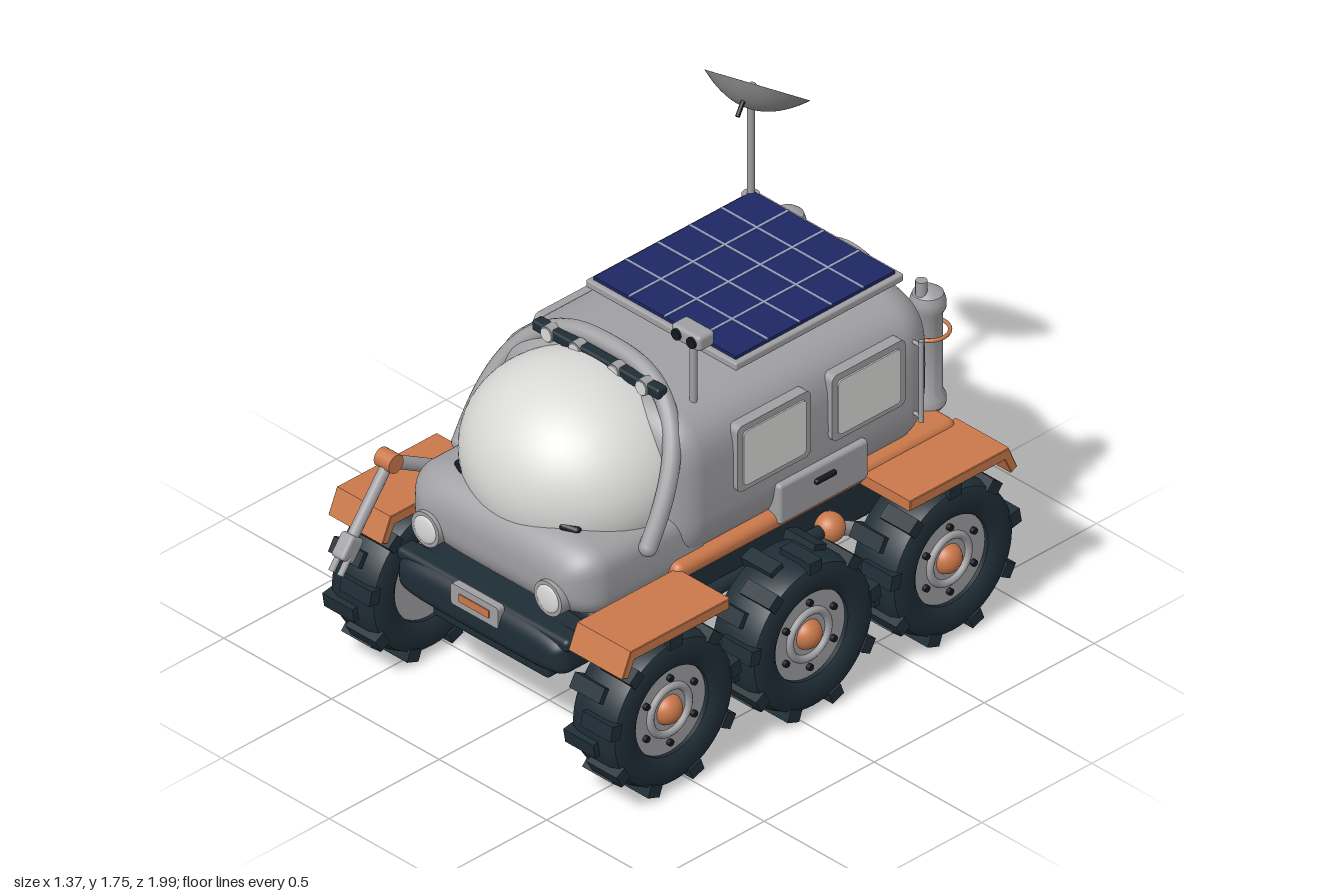
import * as THREE from 'three';
import { toCreasedNormals } from 'three/addons/utils/BufferGeometryUtils.js';
import { RoundedBoxGeometry } from 'three/addons/geometries/RoundedBoxGeometry.js';

const V = (x, y, z) => new THREE.Vector3(x, y, z);
const H = Math.PI / 2;
const spow = (v, e) => Math.sign(v) * Math.abs(v) ** e;

function paint(name, color, side = THREE.FrontSide) {
  const m = new THREE.MeshStandardMaterial({ color, side });
  m.name = name;
  return m;
}

// Superellipse hull along z, with rounded ends
function hull(w, y0, y1, zBack, zFront, rBack, rFront, n) {
  const secs = [], N = 64, S = 10, pos = [], idx = [];
  for (let i = 0; i <= S; i++) {
    const a = (i / S) * H;
    secs.push([zBack + rBack * (1 - Math.cos(a)), rBack * (1 - Math.sin(a))]);
  }
  for (let i = 0; i <= S; i++) {
    const a = (i / S) * H;
    secs.push([zFront - rFront * (1 - Math.sin(a)), rFront * (1 - Math.cos(a))]);
  }
  // The back cap starts at full inset, so order its sections from the end inwards
  for (let i = 0; i <= S; i++) {
    const a = (i / S) * H;
    secs[i] = [zBack + rBack * (1 - Math.cos(a)), rBack * (1 - Math.sin(a))];
  }
  const cy = (y0 + y1) / 2;
  for (const [z, inset] of secs) for (let j = 0; j < N; j++) {
    const t = (j / N) * Math.PI * 2;
    pos.push((w - inset) * spow(Math.cos(t), 2 / n), cy + ((y1 - y0) / 2 - inset) * spow(Math.sin(t), 2 / n), z);
  }
  for (let i = 0; i < secs.length - 1; i++) for (let j = 0; j < N; j++) {
    const k = (j + 1) % N, a = i * N + j, b = i * N + k, c = b + N, d = a + N;
    idx.push(a, b, c, a, c, d);
  }
  const back = pos.length / 3, last = (secs.length - 1) * N;
  pos.push(0, cy, zBack, 0, cy, zFront);
  for (let j = 0; j < N; j++) {
    const k = (j + 1) % N;
    idx.push(back, k, j, back + 1, last + j, last + k);
  }
  const g = new THREE.BufferGeometry();
  g.setAttribute('position', new THREE.Float32BufferAttribute(pos, 3));
  g.setIndex(idx);
  g.computeVertexNormals();
  return g;
}

// Rounded rectangle plate, thickness along z
function plate(w, h, d, r) {
  const s = new THREE.Shape(), x = w / 2 - r, y = h / 2 - r;
  [[x, y], [-x, y], [-x, -y], [x, -y]].forEach(([cx, cy], i) => s.absarc(cx, cy, r, i * H, (i + 1) * H));
  return new THREE.ExtrudeGeometry(s, { depth: d, bevelEnabled: false, curveSegments: 6 }).translate(0, 0, -d / 2);
}

const box = (w, h, d, r = 0.01) => new RoundedBoxGeometry(w, h, d, 3, r);
const cyl = (r, h, r2 = r, n = 32) => new THREE.CylinderGeometry(r2, r, h, n);
const ball = r => new THREE.SphereGeometry(r, 24, 16);
const lathe = (pts, n = 48) => toCreasedNormals(new THREE.LatheGeometry(pts.map(p => new THREE.Vector2(...p)), n), 0.6);

export function createModel() {
  const root = new THREE.Group();
  root.name = 'rover';
  const grey = paint('hull grey', 0xa09fa2);
  const dishGrey = paint('dish grey', 0x8f8f91, THREE.DoubleSide);
  const pale = paint('pale glass', 0xd9d9d8);
  const dark = paint('dark rubber', 0x1f2d36);
  const black = paint('black', 0x14191e);
  const orange = paint('orange', 0xca784a);
  const blue = paint('solar blue', 0x1d2763);
  const line = paint('solar lines', 0x94a2c4);

  const add = (name, geo, mat, p = [0, 0, 0], r = [0, 0, 0], parent = root) => {
    const m = new THREE.Mesh(geo, mat);
    m.name = name;
    m.position.set(...p);
    m.rotation.set(...r);
    parent.add(m);
    return m;
  };
  const rod = (name, a, b, r, mat, n = 16) => {
    const A = V(...a), B = V(...b), m = add(name, cyl(r, A.distanceTo(B), r, n), mat);
    m.position.copy(A).add(B).multiplyScalar(0.5);
    m.quaternion.setFromUnitVectors(V(0, 1, 0), B.sub(A).normalize());
  };

  // Cabin, nose and bubble windscreen
  add('cabin', hull(0.457, 0.6, 1.21, -0.862, 0.36, 0.17, 0.12, 4), grey);
  add('nose', hull(0.425, 0.57, 0.875, 0.2, 0.77, 0.02, 0.13, 4), grey);
  add('windscreen', new THREE.SphereGeometry(1, 64, 40).scale(0.405, 0.335, 0.375), pale, [0, 0.92, 0.37]);
  const arc = [];
  for (let i = 0; i <= 32; i++) {
    const t = (i / 32) * Math.PI, s = spow(Math.sin(t), 0.76);
    arc.push(V(0.435 * spow(Math.cos(t), 0.76), 0.8 + 0.468 * s, 0.475 - 0.255 * s));
  }
  add('windscreenHoop', new THREE.TubeGeometry(new THREE.CatmullRomCurve3(arc), 72, 0.032, 14), grey);
  for (const p of [arc[0], arc[32]]) add('hoopEnd', ball(0.032), grey, p.toArray());

  // Roof light bar
  add('lightBar', box(0.59, 0.04, 0.045), dark, [0, 1.238, 0.27]);
  for (const x of [-0.22, -0.09, 0.09, 0.22]) {
    add('roofLamp', cyl(0.029, 0.04), grey, [x, 1.236, 0.276], [H, 0, 0]);
    add('roofLampLens', cyl(0.025, 0.006), pale, [x, 1.236, 0.297], [H, 0, 0]);
  }

  // Chassis, bumper and belt
  add('chassis', box(0.76, 0.2, 1.62, 0.03), dark, [0, 0.5, -0.14]);
  add('bumper', hull(0.39, 0.4, 0.565, 0.5, 0.835, 0.02, 0.06, 5), dark);
  add('bumperTop', box(0.8, 0.05, 0.08, 0.02), dark, [0, 0.54, 0.77]);
  add('skidPlate', box(0.54, 0.07, 0.2, 0.015), dark, [0, 0.375, 0.67]);
  add('rearBeam', box(0.56, 0.12, 0.08, 0.015), dark, [0, 0.55, -0.925]);
  add('belt', box(0.93, 0.065, 1.27, 0.03), orange, [0, 0.648, -0.27]);
  add('numberPlateHolder', plate(0.22, 0.08, 0.03, 0.012), grey, [0, 0.535, 0.825]);
  add('numberPlate', plate(0.14, 0.03, 0.008, 0.003), orange, [0, 0.535, 0.84]);

  // Fenders
  const prof = [[0.35, 0.622], [0.78, 0.622], [0.81, 0.56], [0.832, 0.57], [0.795, 0.655], [0.35, 0.655]];
  const fender = new THREE.ExtrudeGeometry(new THREE.Shape(prof.map(p => new THREE.Vector2(...p))),
    { depth: 0.235, bevelThickness: 0.008, bevelSize: 0.004, bevelSegments: 2 }).translate(0, 0, -0.1175);

  // Wheel geometry, axle along y
  const tyre = lathe([[0.165, -0.09], [0.185, -0.105], [0.245, -0.108], [0.267, -0.097], [0.279, -0.06], [0.279, 0.06],
    [0.267, 0.097], [0.245, 0.108], [0.185, 0.105], [0.165, 0.09], [0.165, -0.09]], 56);
  const lug = new THREE.BoxGeometry(0.044, 0.14, 0.055);
  function wheel(x, z) {
    const g = new THREE.Group();
    g.name = 'wheel';
    g.position.set(x, 0.31, z);
    g.rotation.z = -Math.sign(x) * H;
    root.add(g);
    add('tyre', tyre, dark, [0, 0, 0], [0, 0, 0], g);
    for (let i = 0; i < 18; i++) {
      const a = (i / 18) * Math.PI * 2, R = 0.277;
      add('treadLug', lug, dark, [R * Math.cos(a), i % 2 ? 0.04 : -0.04, R * Math.sin(a)], [0, -a, 0], g);
    }
    add('rim', cyl(0.17, 0.15, 0.17, 40), grey, [0, 0, 0], [0, 0, 0], g);
    add('rimRing', new THREE.TorusGeometry(0.088, 0.014, 10, 40), grey, [0, 0.078, 0], [H, 0, 0], g);
    add('hubCap', new THREE.SphereGeometry(0.056, 28, 14), orange, [0, 0.062, 0], [0, 0, 0], g);
    for (let i = 0; i < 6; i++) {
      const a = (i / 6) * Math.PI * 2;
      add('bolt', cyl(0.012, 0.02, 0.012, 8), black, [0.125 * Math.cos(a), 0.08, 0.125 * Math.sin(a)], [0, 0, 0], g);
    }
  }

  for (const s of [-1, 1]) {
    add('frontFender', fender, orange, [s * 0.558, 0, 0], [0, -H, 0]);
    add('rearFender', fender, orange, [s * 0.558, 0, -0.126], [0, H, 0]);

    // Wheels, axles and rocker suspension
    for (const z of [0.577, -0.058, -0.695]) {
      wheel(s * 0.56, z);
      rod('axle', [s * 0.31, 0.31, z], [s * 0.5, 0.31, z], 0.032, grey);
    }
    const P = (y, z) => [s * 0.41, y, z];
    rod('rockerArm', P(0.475, 0.26), P(0.31, 0.577), 0.025, grey);
    rod('rockerLink', P(0.475, 0.26), P(0.475, -0.375), 0.025, dark);
    rod('bogieArm', P(0.475, -0.375), P(0.31, -0.058), 0.025, grey);
    rod('bogieArm', P(0.475, -0.375), P(0.31, -0.695), 0.025, grey);
    add('rockerPivot', ball(0.045), dark, P(0.475, 0.26));
    add('bogiePivot', ball(0.053), orange, P(0.475, -0.375));
    rod('strut', P(0.33, 0.577), P(0.55, 0.56), 0.024, grey);

    // Side windows, locker and hand rail
    for (const z of [-0.06, -0.49]) {
      add('windowFrame', plate(0.335, 0.255, 0.045, 0.025), grey, [s * 0.451, 0.982, z], [0, s * H, 0]);
      add('windowPane', plate(0.285, 0.21, 0.008, 0.018), pale, [s * 0.475, 0.98, z], [0, s * H, 0]);
    }
    add('locker', box(0.06, 0.155, 0.405, 0.014), grey, [s * 0.448, 0.72, -0.285]);
    add('lockerHandle', box(0.02, 0.02, 0.095, 0.008), black, [s * 0.482, 0.745, -0.285]);
    rod('handRail', [s * 0.483, 0.76, -0.72], [s * 0.483, 1.075, -0.72], 0.009, grey);
    for (const y of [0.78, 1.055]) rod('railMount', [s * 0.42, y, -0.72], [s * 0.483, y, -0.72], 0.007, grey);

    // Headlights and wipers
    add('headlight', cyl(0.066, 0.08, 0.064), grey, [s * 0.285, 0.672, 0.745], [H, 0, 0]);
    add('headlightLens', new THREE.SphereGeometry(0.051, 24, 16).scale(1, 1, 0.2), pale, [s * 0.285, 0.672, 0.784]);
    add('wiper', box(0.075, 0.034, 0.045, 0.014), black, [s * 0.25, 0.871, 0.645], [0.3, s * 0.4, -s * 0.3]);

    // Rear tanks
    add('tank', lathe([[0, 0.66], [0.045, 0.66], [0.06, 0.68], [0.06, 0.71], [0.049, 0.73], [0.049, 1.03], [0.06, 1.05],
      [0.06, 1.08], [0.052, 1.105], [0.03, 1.122], [0, 1.127]], 32), grey, [s * 0.325, 0, -0.905]);
    add('tankStrap', new THREE.TorusGeometry(0.07, 0.007, 8, 36), orange, [s * 0.325, 0.96, -0.908], [H, 0, 0]);

    // Ladder rails
    rod('ladderRail', [s * 0.1, 0.26, -0.972], [s * 0.1, 0.66, -0.955], 0.01, grey);
  }
  for (const y of [0.31, 0.43, 0.55]) rod('ladderRung', [-0.1, y, -0.967], [0.1, y, -0.967], 0.008, grey);
  rod('ladderTop', [-0.1, 0.655, -0.955], [0.1, 0.655, -0.955], 0.01, grey);
  rod('tankValve', [0.325, 1.11, -0.875], [0.325, 1.165, -0.875], 0.02, grey);

  // Rear hatch
  add('hatch', lathe([[0.235, -0.08], [0.235, 0.012], [0.222, 0.024], [0.2, 0.024], [0.195, 0.016], [0, 0.016]], 56), grey,
    [0, 0.92, -0.87], [-H, 0, 0]);
  add('hatchWheel', new THREE.TorusGeometry(0.062, 0.011, 10, 36), orange, [0, 0.92, -0.91]);
  rod('hatchBar', [-0.06, 0.92, -0.91], [0.06, 0.92, -0.91], 0.01, orange);
  rod('hatchSpindle', [0, 0.92, -0.86], [0, 0.92, -0.91], 0.018, grey);

  // Solar panel
  add('solarFrame', box(0.7, 0.03, 0.765, 0.008), grey, [0, 1.235, -0.39]);
  add('solarCells', new THREE.BoxGeometry(0.66, 0.016, 0.725), blue, [0, 1.254, -0.388]);
  for (const i of [-1, 0, 1]) add('solarLine', new THREE.BoxGeometry(0.009, 0.003, 0.725), line, [i * 0.165, 1.263, -0.388]);
  for (const i of [-1.5, -0.5, 0.5, 1.5]) add('solarLine', new THREE.BoxGeometry(0.66, 0.003, 0.009), line, [0, 1.263, -0.388 + i * 0.145]);

  // Dish antenna
  rod('dishMast', [-0.332, 1.2, -0.742], [-0.332, 1.62, -0.742], 0.013, grey);
  add('mastFoot', cyl(0.03, 0.04), grey, [-0.332, 1.235, -0.742]);
  const bowl = [];
  for (let i = 0; i <= 10; i++) bowl.push([0.18 * i / 10, 0.082 * (i / 10) ** 2]);
  add('dish', lathe(bowl, 48), dishGrey, [-0.332, 1.583, -0.74])
    .quaternion.setFromUnitVectors(V(0, 1, 0), V(-0.18, 0.8, -0.57).normalize());
  rod('dishFeed', [-0.325, 1.69, -0.73], [-0.3, 1.61, -0.65], 0.008, black);
  add('dishFeedTip', ball(0.018), grey, [-0.333, 1.665, -0.748]);

  // Camera mast
  rod('cameraMast', [0.333, 1.17, 0.17], [0.333, 1.43, 0.17], 0.013, grey);
  add('cameraHead', box(0.135, 0.058, 0.075, 0.015), grey, [0.333, 1.443, 0.172]);
  for (const x of [0.298, 0.368]) add('cameraLens', cyl(0.02, 0.02, 0.02, 20), black, [x, 1.443, 0.208], [H, 0, 0]);

  // Sampling arm
  add('shoulder', ball(0.042), grey, [-0.455, 0.69, 0.48]);
  rod('upperArm', [-0.455, 0.69, 0.48], [-0.495, 0.82, 0.74], 0.024, grey);
  rod('elbow', [-0.53, 0.825, 0.745], [-0.46, 0.825, 0.745], 0.034, orange, 24);
  rod('forearm', [-0.495, 0.82, 0.745], [-0.495, 0.59, 0.92], 0.021, grey);
  add('wrist', box(0.058, 0.09, 0.068, 0.012), grey, [-0.495, 0.572, 0.932], [-0.65, 0, 0]);
  for (const x of [-0.515, -0.475]) rod('claw', [x, 0.55, 0.945], [x, 0.495, 0.985], 0.012, grey, 10);
  return root;
}
